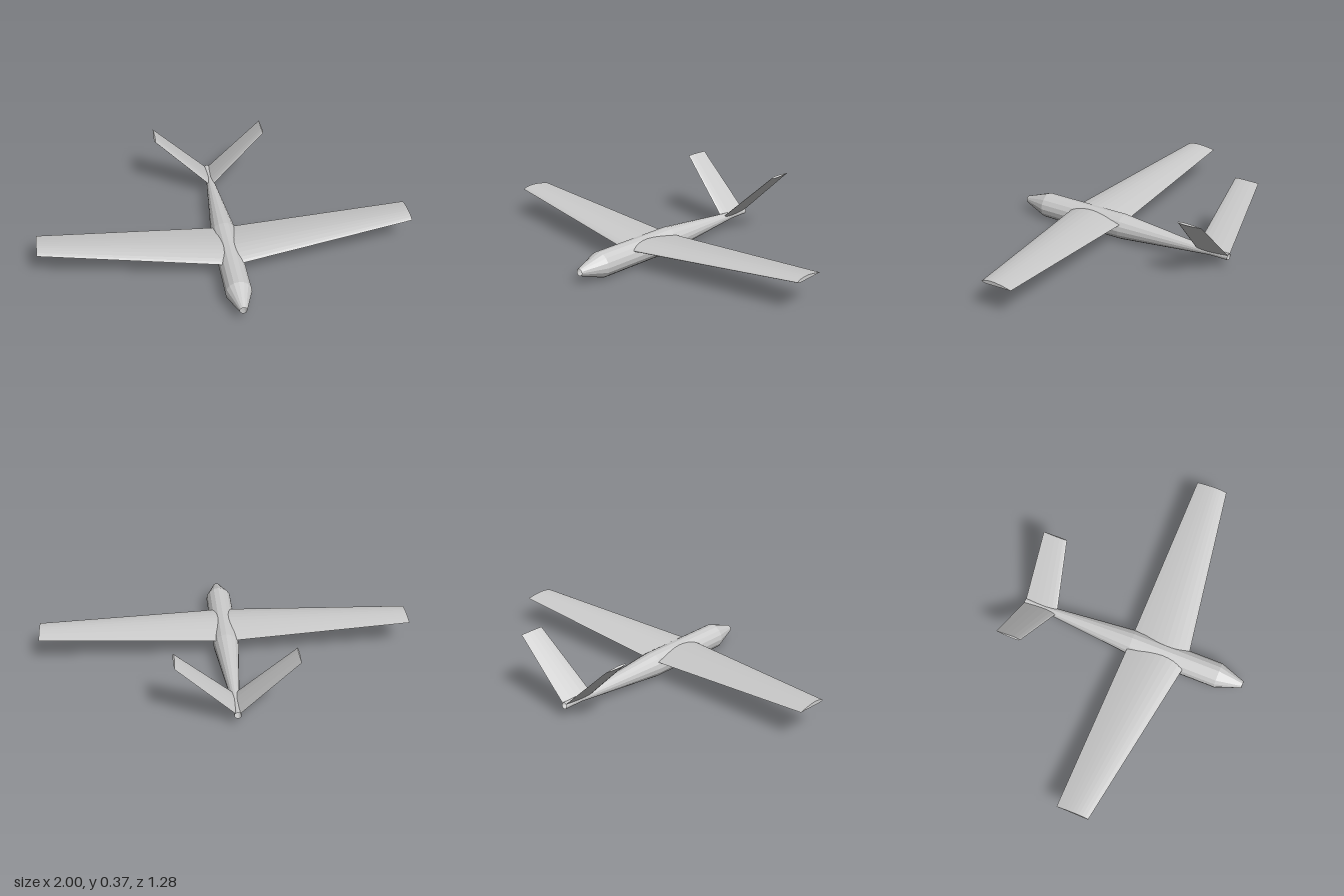
import * as THREE from 'three';

const material = new THREE.MeshStandardMaterial({ color: 0xcccccc, flatShading: true, side: THREE.DoubleSide });

// Aerofoil outlines: u runs from leading (0) to trailing edge (1), v is height per chord
const wingProfile = [
  [0, 0], [0.02, -0.014], [0.08, -0.026], [0.2, -0.028], [0.4, -0.02], [0.6, -0.013], [0.8, -0.006],
  [1, 0], [0.9, 0.022], [0.8, 0.041], [0.7, 0.058], [0.6, 0.071], [0.5, 0.081], [0.4, 0.086],
  [0.3, 0.083], [0.2, 0.073], [0.1, 0.053], [0.04, 0.031], [0.01, 0.014],
];
const upperFin = [[0.7, 0.026], [0.5, 0.037], [0.3, 0.042], [0.15, 0.036], [0.05, 0.023]];
const finProfile = [
  [0, 0], ...upperFin.map(([u, v]) => [u, -v]).reverse(), [1, 0], ...upperFin,
];

// Tapered surface from root to tip; each end is { x, y, front, back } and side is 1 or -1
function panel(profile, root, tip, side) {
  const shape = new THREE.Shape(profile.map(([u, v]) => new THREE.Vector2(u, v)));
  const geometry = new THREE.ExtrudeGeometry(shape, { depth: 1, bevelEnabled: false, steps: 1 });
  const p = geometry.attributes.position;
  const angle = Math.atan2(tip.y - root.y, tip.x - root.x);
  const lerp = THREE.MathUtils.lerp;
  for (let i = 0; i < p.count; i++) {
    const u = p.getX(i), v = p.getY(i), w = p.getZ(i);
    const front = lerp(root.front, tip.front, w);
    const chord = front - lerp(root.back, tip.back, w);
    const x = lerp(root.x, tip.x, w) - Math.sin(angle) * v * chord;
    const y = lerp(root.y, tip.y, w) + Math.cos(angle) * v * chord;
    p.setXYZ(i, side * x, y, front - u * chord);
  }
  // A mirrored panel needs its corner order reversed
  if (side < 0) {
    const a = new THREE.Vector3(), b = new THREE.Vector3();
    for (let i = 0; i < p.count; i += 3) {
      a.fromBufferAttribute(p, i + 1);
      b.fromBufferAttribute(p, i + 2);
      p.setXYZ(i + 1, b.x, b.y, b.z);
      p.setXYZ(i + 2, a.x, a.y, a.z);
    }
  }
  geometry.computeVertexNormals();
  return new THREE.Mesh(geometry, material);
}

export function createModel() {
  const model = new THREE.Group();
  const axisY = 0.07;

  // Hollow fuselage, open at nose and tail
  const stations = [[0.018, -0.64], [0.018, -0.53], [0.069, 0], [0.069, 0.5], [0.019, 0.64]];
  const body = new THREE.LatheGeometry(stations.map(([r, z]) => new THREE.Vector2(r, z)), 16);
  body.rotateX(Math.PI / 2);
  const fuselage = new THREE.Mesh(body, material);
  fuselage.name = 'fuselage';
  fuselage.position.y = axisY;
  model.add(fuselage);

  for (const side of [1, -1]) {
    const label = side > 0 ? 'left' : 'right';

    // Main wing with slight dihedral and a straight trailing edge
    const wing = panel(wingProfile,
      { x: 0, y: 0.102, front: 0.32, back: -0.01 },
      { x: 1, y: 0.163, front: 0.165, back: -0.01 }, side);
    wing.name = label + 'Wing';
    model.add(wing);

    // V-tail fin
    const fin = panel(finProfile,
      { x: 0.012, y: axisY + 0.012, front: -0.452, back: -0.64 },
      { x: 0.307, y: 0.365, front: -0.505, back: -0.64 }, side);
    fin.name = label + 'TailFin';
    model.add(fin);
  }
  return model;
}
